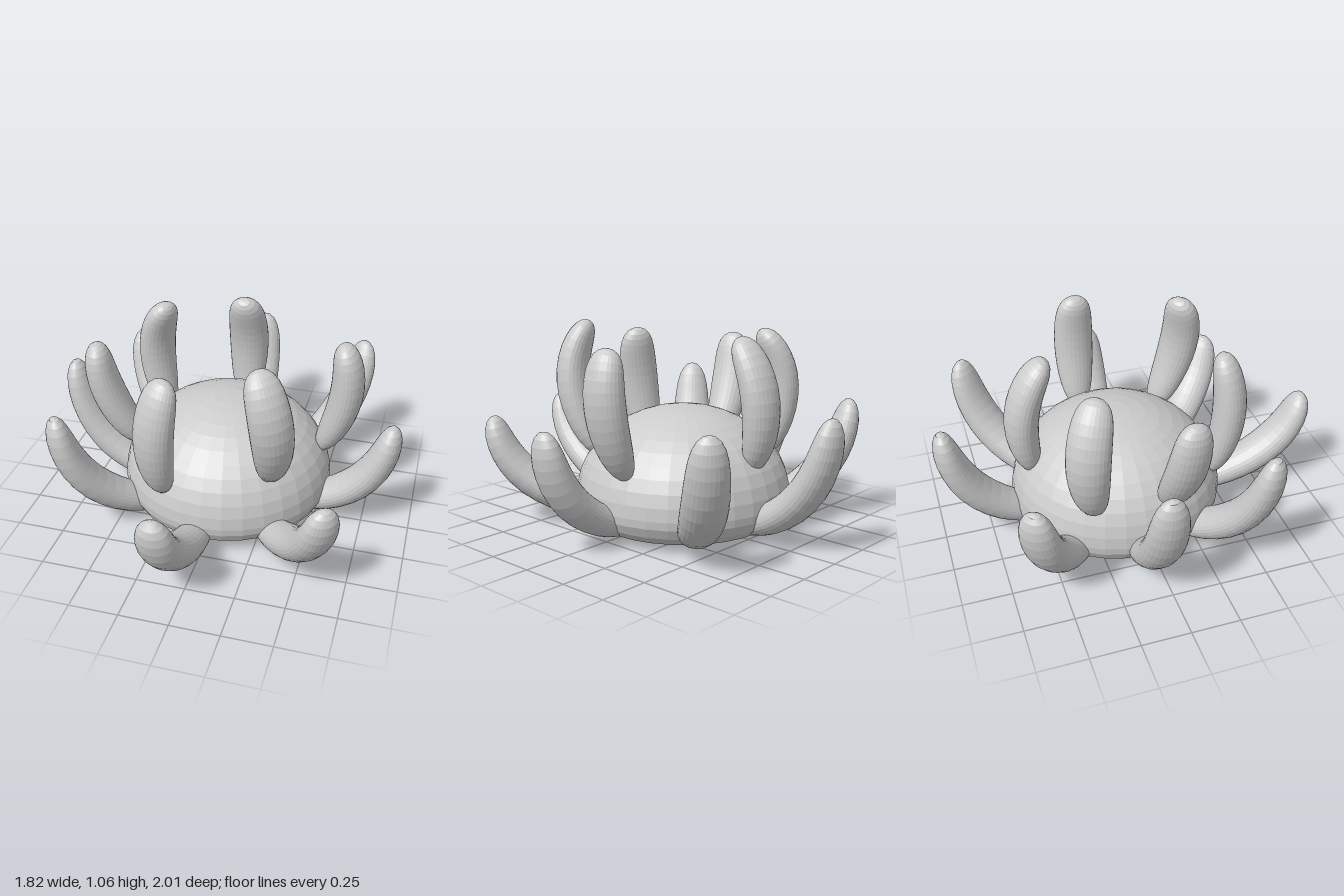
import * as THREE from 'three';

const CENTRE_Z = -0.066;
const material = new THREE.MeshStandardMaterial({ color: 0xcccccc, flatShading: true });

// Curved, blunt-tipped finger with an oval section, passing through base, mid and tip
function tentacleGeometry(base, mid, tip) {
  const control = mid.clone().multiplyScalar(2).addScaledVector(base, -0.5).addScaledVector(tip, -0.5);
  const curve = new THREE.QuadraticBezierCurve3(base, control, tip);
  const side = new THREE.Vector3(mid.z - CENTRE_Z, 0, -mid.x).normalize();
  const rings = 18, sides = 28, positions = [], index = [];
  for (let i = 0; i <= rings; i++) {
    const t = (1 - Math.cos(Math.PI * i / rings)) / 2;
    const centre = curve.getPoint(t);
    const tangent = curve.getTangent(t);
    const depthAxis = tangent.clone().cross(side).normalize();
    const sideAxis = depthAxis.clone().cross(tangent).normalize();
    const round = Math.sqrt(Math.max(0, (1 - t ** 16) * (1 - (1 - t) ** 14)));
    const width = 0.119 * round * (1 - 0.42 * (1 - t) ** 3 - 0.29 * t ** 3);
    const depth = width * 0.82 * (1 - 0.12 * t * t);
    for (let j = 0; j < sides; j++) {
      const a = j / sides * Math.PI * 2;
      const p = centre.clone()
        .addScaledVector(sideAxis, Math.cos(a) * width)
        .addScaledVector(depthAxis, Math.sin(a) * depth);
      positions.push(p.x, p.y, p.z);
      if (i < rings) {
        const k = (j + 1) % sides, r0 = i * sides, r1 = r0 + sides;
        index.push(r0 + j, r1 + k, r1 + j, r0 + j, r0 + k, r1 + k);
      }
    }
  }
  const geometry = new THREE.BufferGeometry();
  geometry.setAttribute('position', new THREE.Float32BufferAttribute(positions, 3));
  geometry.setIndex(index);
  geometry.computeVertexNormals();
  return geometry;
}

export function createModel() {
  const model = new THREE.Group();
  model.name = 'anemone';
  const v = (p) => new THREE.Vector3(...p);
  const add = (name, geometry) => {
    const mesh = new THREE.Mesh(geometry, material);
    mesh.name = name;
    model.add(mesh);
    return mesh;
  };

  // Domed body with a tucked-in flat base
  const profile = [[0, 0], [0.2, 0.002], [0.38, 0.006], [0.47, 0.035], [0.525, 0.08], [0.55, 0.13]];
  for (let i = 0; i <= 11; i++) {
    const a = i / 11 * Math.PI / 2;
    profile.push([i === 11 ? 0 : 0.555 * Math.cos(a), 0.17 + 0.457 * Math.sin(a)]);
  }
  const body = add('body', new THREE.LatheGeometry(profile.map((p) => new THREE.Vector2(...p)), 32));
  body.position.z = CENTRE_Z;

  // Outer ring: tips only, each arm sweeps out from under the body
  const outerTips = [
    [-0.01, 0.68, -0.955], [0.62, 0.68, -0.755], [0.87, 0.62, 0.01], [0.645, 0.565, 0.68],
    [-0.075, 0.565, 0.96], [-0.725, 0.71, 0.5], [-0.85, 0.715, -0.06], [-0.67, 0.64, -0.645],
  ];
  outerTips.forEach((p, i) => {
    const tip = v(p);
    const out = new THREE.Vector3(tip.x, 0, tip.z - CENTRE_Z);
    const reach = out.length();
    out.normalize();
    const along = (r, y) => new THREE.Vector3(out.x * r, y, out.z * r + CENTRE_Z);
    const mid = along(0.34 + (reach - 0.34) * 0.71, 0.06 + (tip.y - 0.06) * 0.335);
    add(`outerTentacle${i + 1}`, tentacleGeometry(along(0.34, 0.06), mid, tip));
  });

  // Inner ring: base, mid and tip of the upright arms
  const inner = [
    [[-0.43, 0.36, 0.07], [-0.59, 0.63, 0.1], [-0.64, 0.935, 0.12]],
    [[-0.4, 0.33, -0.29], [-0.48, 0.7, -0.34], [-0.385, 0.995, -0.26]],
    [[-0.01, 0.35, -0.5], [-0.01, 0.7, -0.55], [-0.01, 1.0, -0.41]],
    [[0.48, 0.34, -0.13], [0.605, 0.68, -0.12], [0.57, 0.98, -0.11]],
    [[0.3, 0.37, 0.24], [0.335, 0.74, 0.4], [0.245, 1.05, 0.36]],
    [[-0.22, 0.29, 0.38], [-0.23, 0.65, 0.47], [-0.17, 0.97, 0.43]],
  ];
  inner.forEach((points, i) => add(`innerTentacle${i + 1}`, tentacleGeometry(...points.map(v))));

  return model;
}
